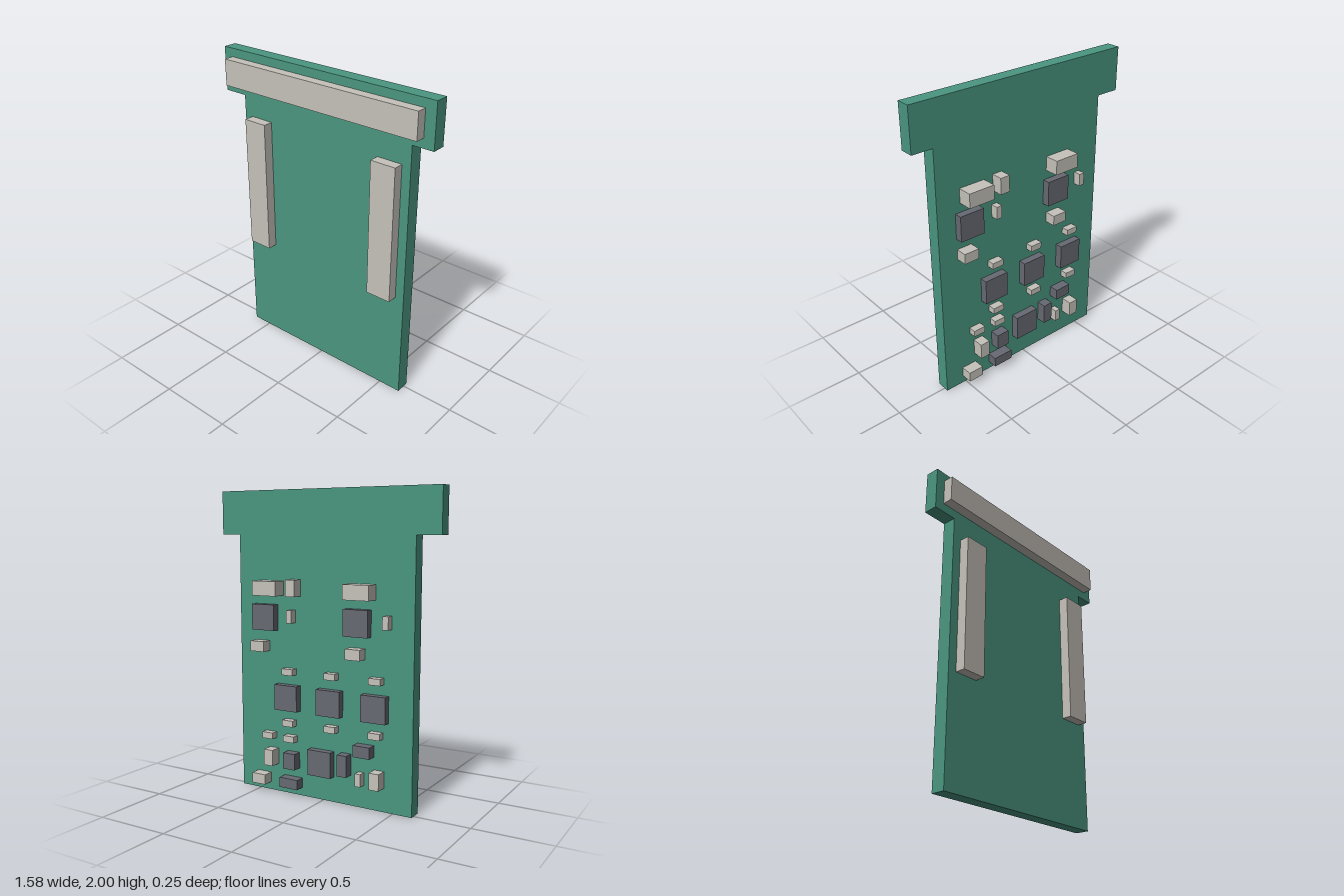
import * as THREE from 'three';

const FRONT = 0.06;   // front face of the board
const BACK = -0.03;   // back face of the board

function material(name, color) {
  const m = new THREE.MeshStandardMaterial({ color });
  m.name = name;
  return m;
}

export function createModel() {
  const group = new THREE.Group();
  const green = material('board green', 0x4a9680);
  const pale = material('pale grey', 0xc6c2bb);
  const dark = material('dark grey', 0x666972);

  // Box between two x, y and z limits
  function block(name, mat, x0, x1, y0, y1, z0, z1) {
    const mesh = new THREE.Mesh(new THREE.BoxGeometry(x1 - x0, y1 - y0, z1 - z0), mat);
    mesh.position.set((x0 + x1) / 2, (y0 + y1) / 2, (z0 + z1) / 2);
    mesh.name = name;
    group.add(mesh);
  }

  // T-shaped circuit board
  const outline = new THREE.Shape([
    [-0.63, 0], [0.65, 0], [0.65, 1.715], [0.79, 1.715],
    [0.79, 2], [-0.79, 2], [-0.79, 1.715], [-0.63, 1.715],
  ].map(([x, y]) => new THREE.Vector2(x, y)));
  const board = new THREE.Mesh(
    new THREE.ExtrudeGeometry(outline, { depth: FRONT - BACK, bevelEnabled: false }), green);
  board.position.z = BACK;
  board.name = 'circuitBoard';
  group.add(board);

  // Connectors on the front
  block('topConnector', pale, -0.725, 0.72, 1.775, 1.945, FRONT, 0.125);
  block('rightConnector', pale, -0.57, -0.405, 0.7, 1.585, FRONT, 0.125);
  block('leftConnector', pale, 0.42, 0.59, 0.7, 1.585, FRONT, 0.125);

  // Back components: one size per kind, placed by lower corner (x, y)
  const kinds = [
    ['largeCapacitor', pale, 0.18, 0.095, 0.095, [[0.305, 1.325], [-0.37, 1.325]]],
    ['wideCapacitor', pale, 0.105, 0.068, 0.075, [[0.415, 0.955], [-0.3, 0.955], [0.415, 0.052]]],
    ['tallCapacitor', pale, 0.068, 0.108, 0.075, [[0.172, 1.325], [0.353, 0.19], [-0.438, 0.155]]],
    ['uprightResistor', pale, 0.04, 0.083, 0.05, [[0.213, 1.152], [-0.48, 1.152], [-0.297, 0.15]]],
    ['flatResistor', pale, 0.083, 0.042, 0.05, [
      [0.208, 0.81], [-0.112, 0.81], [-0.43, 0.81],
      [0.208, 0.468], [-0.112, 0.468], [-0.43, 0.468],
      [0.368, 0.367], [0.2, 0.363]]],
    ['squareChip', dark, 0.172, 0.17, 0.05, [
      [0.35, 1.095], [-0.34, 1.095],
      [0.177, 0.572], [-0.142, 0.572], [-0.465, 0.572], [-0.078, 0.168]]],
    ['smallChip', dark, 0.09, 0.108, 0.065, [[0.185, 0.185]]],
    ['wideChip', dark, 0.14, 0.066, 0.068, [[0.163, 0.055]]],
    ['tallChip', dark, 0.068, 0.14, 0.065, [[-0.203, 0.2]]],
    ['shortChip', dark, 0.118, 0.075, 0.065, [[-0.367, 0.344]]],
  ];
  for (const [name, mat, w, h, d, spots] of kinds) {
    for (const [x, y] of spots) block(name, mat, x, x + w, y, y + h, BACK - d, BACK);
  }

  return group;
}
